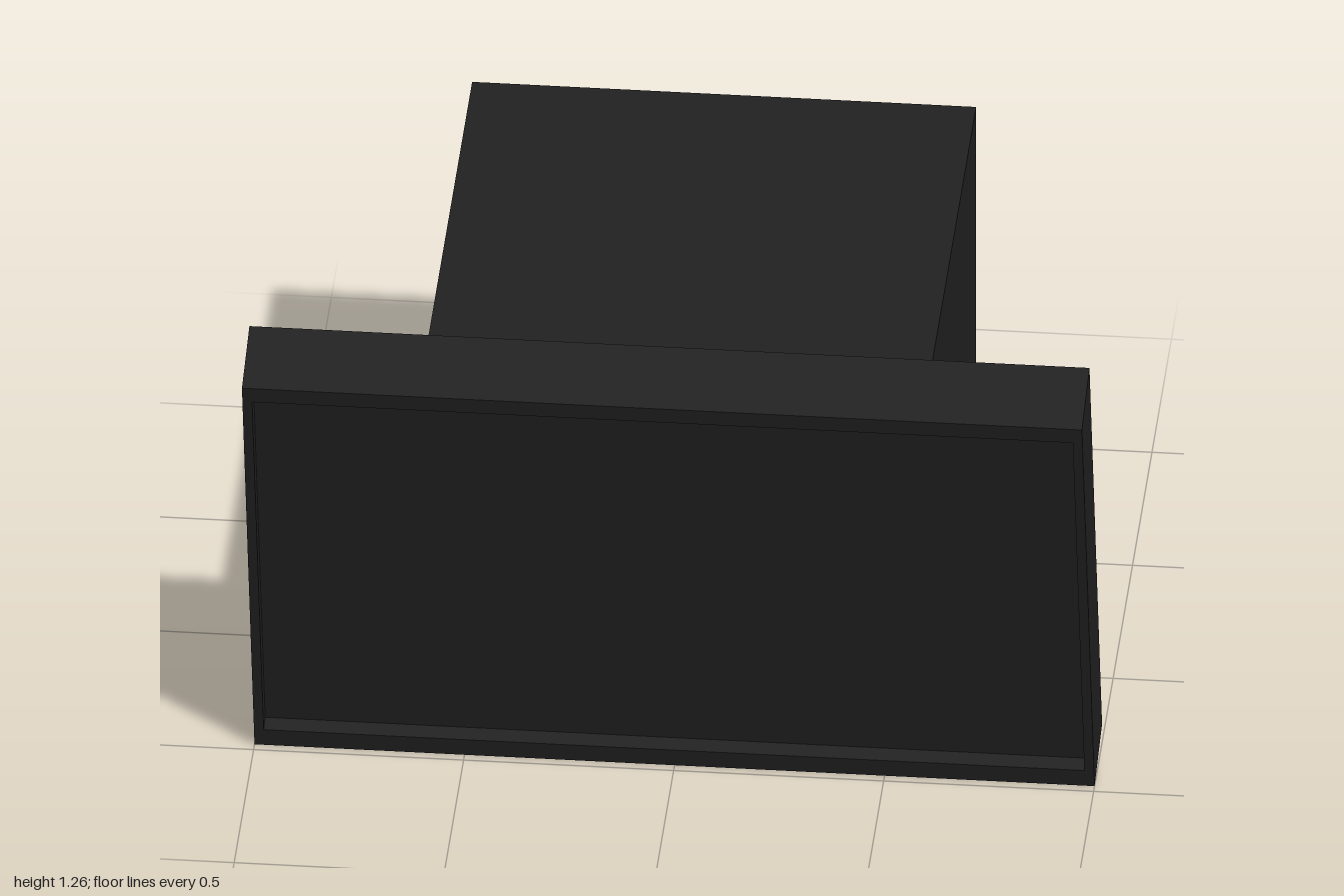
import * as THREE from 'three';

const TILT = THREE.MathUtils.degToRad(15);
const W = 2, H = 1.25, DEPTH = 0.2, RECESS = 0.04;

// Polygon path from [x, y] pairs
const polygon = (Type, pts) => new Type(pts.map(([x, y]) => new THREE.Vector2(x, y)));

const rect = (Type, x, y0, y1) => polygon(Type, [[-x, y0], [x, y0], [x, y1], [-x, y1]]);

export function createModel() {
  const model = new THREE.Group();
  const charcoal = new THREE.MeshStandardMaterial({ color: 0x222222 });
  charcoal.name = 'charcoal';

  const add = (parent, name, geometry) => {
    const mesh = new THREE.Mesh(geometry, charcoal);
    mesh.name = name;
    parent.add(mesh);
    return mesh;
  };

  // Leaning front panel, pivoted on its lower front edge
  const panel = new THREE.Group();
  panel.name = 'frontPanel';
  panel.position.z = 0.8 - H * Math.sin(TILT);
  panel.rotation.x = TILT;
  model.add(panel);

  // Solid slab whose face is the recessed screen
  add(panel, 'panelSlab', new THREE.BoxGeometry(W, H, DEPTH - RECESS))
    .position.set(0, H / 2, -(DEPTH + RECESS) / 2);

  // Thin raised rim around the screen
  const rim = rect(THREE.Shape, W / 2, 0, H);
  rim.holes.push(rect(THREE.Path, 0.977, 0.053, H - 0.047));
  add(panel, 'panelRim', new THREE.ExtrudeGeometry(rim, { depth: RECESS, bevelEnabled: false }))
    .position.z = -RECESS;

  // Rear housing, its front end cut to the slope of the panel
  const slopeZ = (y) => 0.8 - H * Math.sin(TILT) - DEPTH / Math.cos(TILT) + y * Math.tan(TILT);
  const low = 0.075, high = 1.075;
  const side = polygon(THREE.Shape, [
    [-slopeZ(low), low], [0.8, low], [0.8, high], [-slopeZ(high), high],
  ]);
  const housing = add(model, 'rearHousing',
    new THREE.ExtrudeGeometry(side, { depth: 1.2, bevelEnabled: false }));
  housing.rotation.y = Math.PI / 2;
  housing.position.x = -0.6;

  return model;
}
